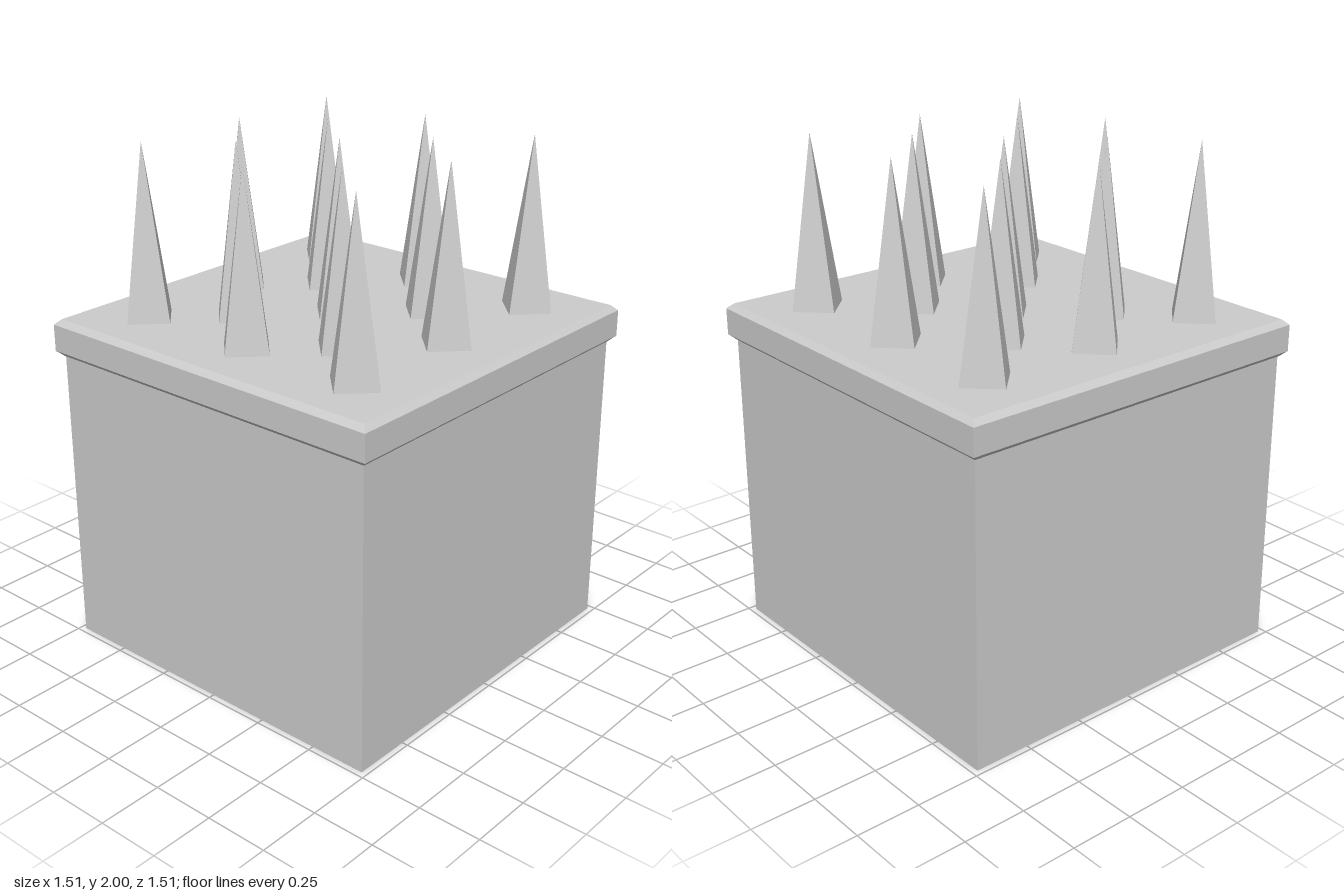
import * as THREE from 'three';

const material = new THREE.MeshStandardMaterial({ color: 0xcccccc, flatShading: true });

function addPart(group, name, geometry, x = 0, y = 0, z = 0) {
  const flat = geometry.toNonIndexed();
  flat.computeVertexNormals();
  const mesh = new THREE.Mesh(flat, material);
  mesh.name = name;
  mesh.position.set(x, y, z);
  group.add(mesh);
}

// Square solid from [half width, height] pairs, listed bottom to top
function squareLathe(profile) {
  const points = profile.map(([half, y]) => new THREE.Vector2(half * Math.SQRT2, y));
  return new THREE.LatheGeometry(points, 4, Math.PI / 4);
}

export function createModel() {
  const model = new THREE.Group();
  model.name = 'spikeBlock';

  // Square base block
  const baseHeight = 1.187;
  addPart(model, 'base', new THREE.BoxGeometry(1.456, baseHeight, 1.456).toNonIndexed(), 0, baseHeight / 2, 0);

  // Overhanging plate with chamfered upper and lower edges
  const top = 1.333;
  addPart(model, 'topPlate', squareLathe([
    [0, baseHeight], [0.732, baseHeight], [0.754, 1.208], [0.754, 1.312], [0.732, top], [0, top],
  ]));

  // Four-sided spikes: three full rows with two offset rows between them
  const spikes = new THREE.Group();
  spikes.name = 'spikes';
  const height = 2 - top;
  for (let row = 0; row < 5; row++) {
    const columns = row % 2 === 0 ? [-0.503, 0, 0.503] : [-0.277, 0.225];
    for (const x of columns) {
      addPart(spikes, 'spike', new THREE.ConeGeometry(0.112, height, 4), x, top + height / 2, (row - 2) * 0.251);
    }
  }
  model.add(spikes);
  return model;
}
